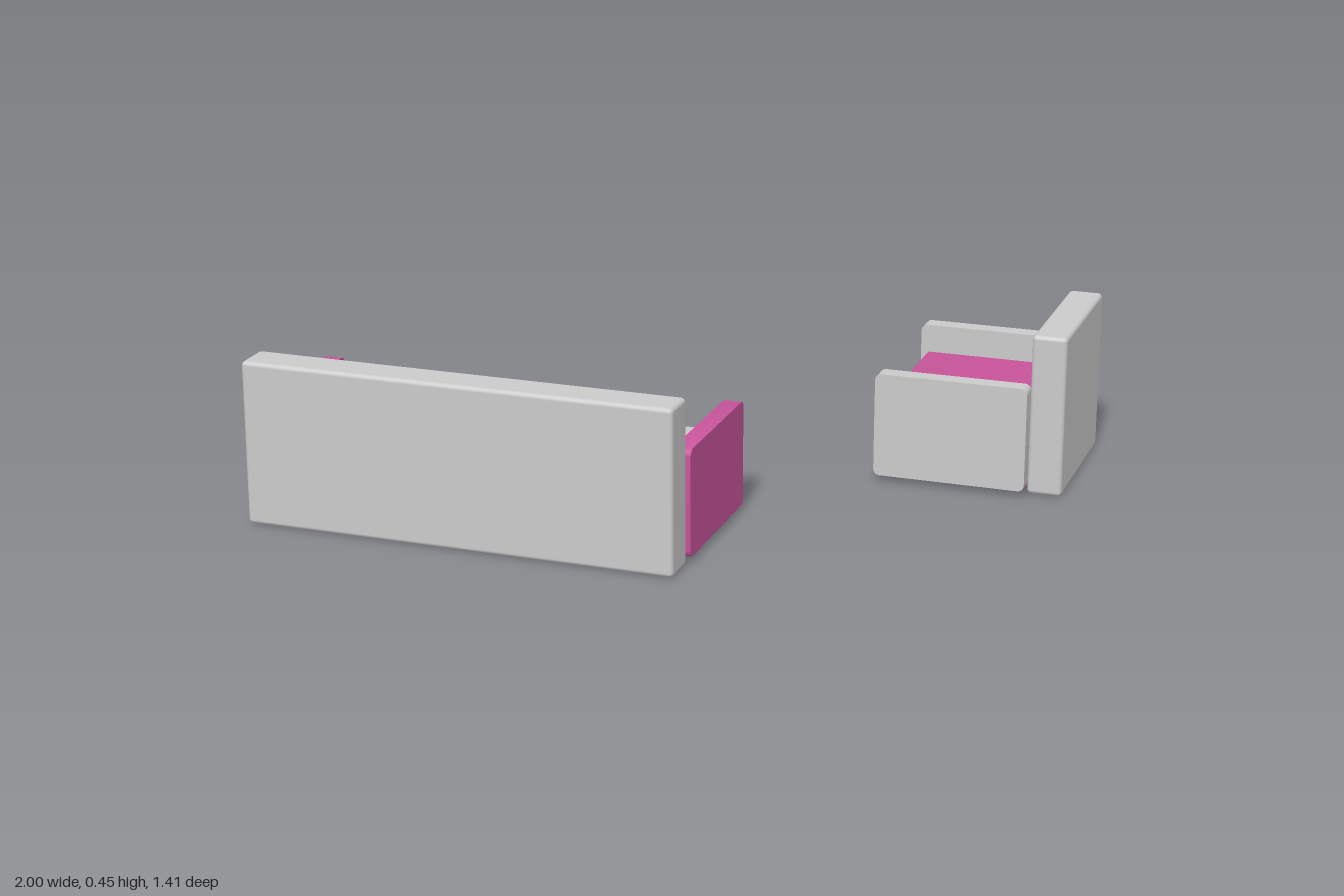
import * as THREE from 'three';
import { toCreasedNormals } from 'three/addons/utils/BufferGeometryUtils.js';
import { RoundedBoxGeometry } from 'three/addons/geometries/RoundedBoxGeometry.js';

const grey = new THREE.MeshStandardMaterial({ color: 0xcccccc });
const pink = new THREE.MeshStandardMaterial({ color: 0xc9559c });

// All parts are given by their extents: [min, max] on each axis.
const size = (r) => r[1] - r[0];
const mid = (r) => (r[0] + r[1]) / 2;

function place(geometry, name, material, x, y, z) {
  const mesh = new THREE.Mesh(geometry, material);
  mesh.name = name;
  mesh.position.set(mid(x), mid(y), mid(z));
  return mesh;
}

// Cushion softened on every edge
function cushion(name, material, x, y, z) {
  return place(new RoundedBoxGeometry(size(x), size(y), size(z), 3, 0.012), name, material, x, y, z);
}

// Panel with rounded profile corners and square side faces, extruded along one axis
function panel(name, material, axis, x, y, z, r = 0.018) {
  const w = size(axis === 'x' ? z : x) / 2;
  const h = size(y) / 2;
  const depth = size(axis === 'x' ? x : z);
  const s = new THREE.Shape();
  s.absarc(w - r, h - r, r, 0, Math.PI / 2);
  s.absarc(r - w, h - r, r, Math.PI / 2, Math.PI);
  s.absarc(r - w, r - h, r, Math.PI, Math.PI * 1.5);
  s.absarc(w - r, r - h, r, Math.PI * 1.5, Math.PI * 2);
  s.closePath();
  const geo = new THREE.ExtrudeGeometry(s, { depth, bevelEnabled: false, curveSegments: 5 });
  geo.translate(0, 0, -depth / 2);
  if (axis === 'x') geo.rotateY(Math.PI / 2);
  return place(toCreasedNormals(geo, 0.6), name, material, x, y, z);
}

export function createModel() {
  const model = new THREE.Group();
  model.name = 'sofaAndArmchair';
  const backY = [0.003, 0.453];
  const armY = [0.02, 0.312];
  const seatY = [0.02, 0.232];

  // Long sofa, its seat facing -z
  const sofa = new THREE.Group();
  sofa.name = 'sofa';
  sofa.add(
    cushion('sofaBack', grey, [-0.988, 0.204], backY, [0.594, 0.703]),
    panel('sofaSeat', grey, 'x', [-0.95, 0.165], seatY, [0.187, 0.595]),
    panel('sofaRightArm', pink, 'x', [-1, -0.95], armY, [0.17, 0.594]),
    panel('sofaLeftArm', pink, 'x', [0.165, 0.215], armY, [0.17, 0.594])
  );

  // Armchair, its seat facing -x
  const chair = new THREE.Group();
  chair.name = 'armchair';
  chair.add(
    cushion('chairBack', grey, [0.905, 1], backY, [-0.668, -0.2]),
    panel('chairSeat', pink, 'z', [0.5, 0.906], seatY, [-0.655, -0.215], 0.008),
    panel('chairRearArm', grey, 'z', [0.482, 0.905], armY, [-0.705, -0.655]),
    panel('chairFrontArm', grey, 'z', [0.482, 0.905], armY, [-0.215, -0.165])
  );

  model.add(sofa, chair);
  return model;
}
